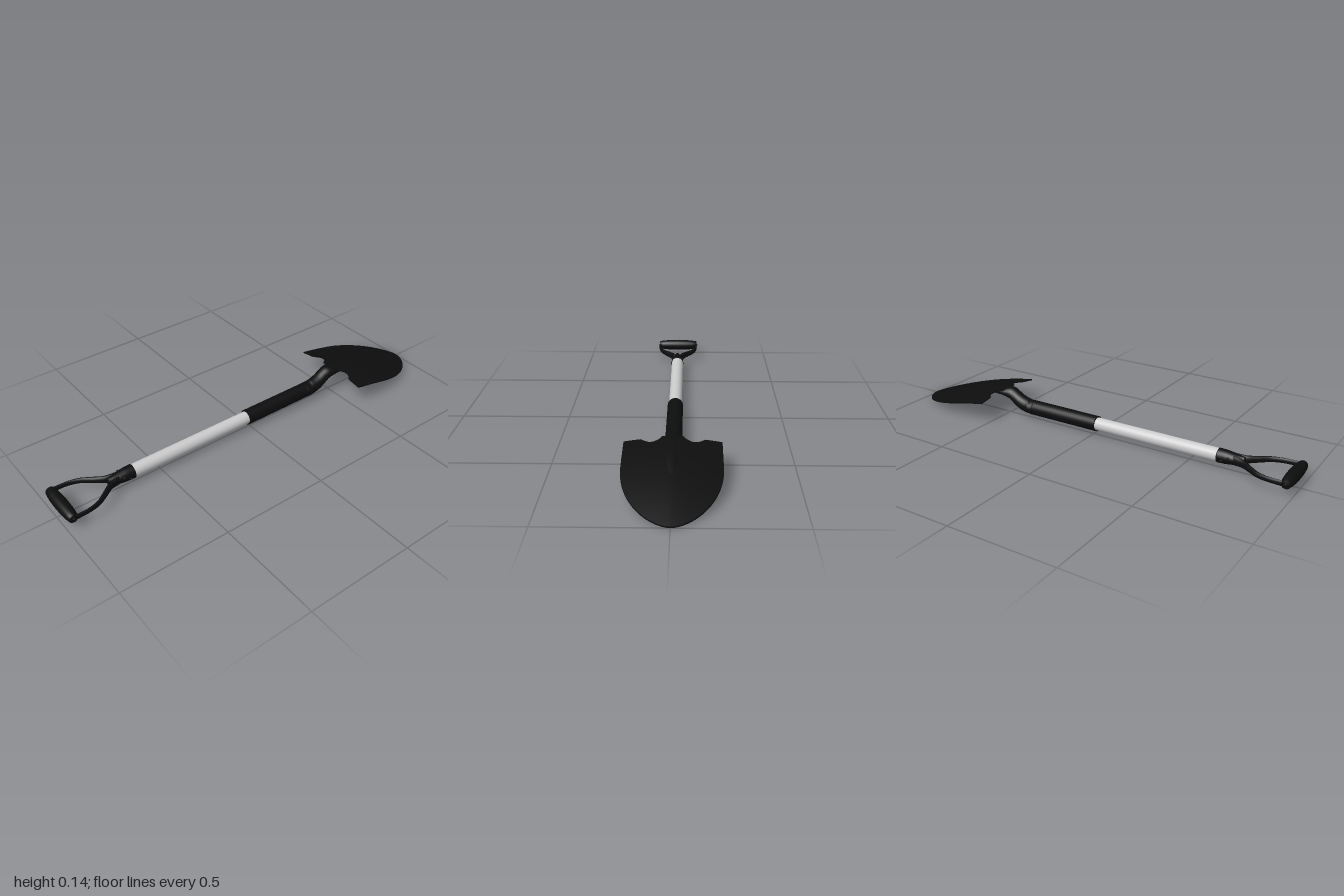
import * as THREE from 'three';

const AXIS = 0.056; // height of the shaft centre line

// Closed skin through elliptical sections [x, y, z, rx, ry], ordered from +z to -z
function loft(sections, sides = 24, steps = 8) {
  const centre = new THREE.CatmullRomCurve3(sections.map(s => new THREE.Vector3(s[0], s[1], s[2])));
  const radii = new THREE.CatmullRomCurve3(sections.map(s => new THREE.Vector3(s[3], s[4], 0)));
  const rows = (sections.length - 1) * steps;
  const pos = [], idx = [];
  for (let i = 0; i <= rows; i++) {
    const c = centre.getPoint(i / rows), r = radii.getPoint(i / rows);
    for (let j = 0; j < sides; j++) {
      const a = (j / sides) * Math.PI * 2;
      pos.push(c.x + Math.cos(a) * r.x, c.y + Math.sin(a) * r.y, c.z);
    }
  }
  for (let i = 0; i < rows; i++) {
    for (let j = 0; j < sides; j++) {
      const a = i * sides + j, b = i * sides + (j + 1) % sides;
      idx.push(a, a + sides, b, b, a + sides, b + sides);
    }
  }
  // End caps
  const last = rows * sides;
  for (let j = 1; j < sides - 1; j++) {
    idx.push(0, j, j + 1, last, last + j + 1, last + j);
  }
  const g = new THREE.BufferGeometry();
  g.setAttribute('position', new THREE.Float32BufferAttribute(pos, 3));
  g.setIndex(idx);
  g.computeVertexNormals();
  return g;
}

// Domed round-point blade: a subdivided box bent onto the blade surface
function bladeGeometry() {
  const g = new THREE.BoxGeometry(2, 1, 1, 64, 1, 40);
  const p = g.attributes.position;
  const rearEdge = x => {
    if (x < 0.045) return -0.505;
    if (x > 0.13) return -0.513;
    return -0.513 - 0.027 * Math.sin(Math.PI * (x - 0.045) / 0.085);
  };
  const halfWidth = d => {
    const k = Math.max(0, 1 - d / 0.32);
    return 0.2 * Math.pow(Math.max(0, 1 - k * k), 0.6);
  };
  for (let i = 0; i < p.count; i++) {
    const u = p.getX(i), side = p.getY(i) * 2;
    const k = 0.5 - p.getZ(i);
    const t = 1 - (1 - k) * (1 - k);
    const z = THREE.MathUtils.lerp(rearEdge(Math.abs(u) * 0.2), -1, t);
    const d = 1 + z;
    const x = u * halfWidth(d);
    const y = 0.004 + 0.36 * d - 0.21 * d * d - 0.25 * Math.pow(Math.abs(x), 1.5);
    p.setXYZ(i, x, y + side * 0.003, z);
  }
  g.computeVertexNormals();
  return g;
}

export function createModel() {
  const root = new THREE.Group();
  const black = new THREE.MeshStandardMaterial({ color: 0x0d0d0d });
  const grey = new THREE.MeshStandardMaterial({ color: 0xcccccc });

  const add = (name, geometry, material = black) => {
    const mesh = new THREE.Mesh(geometry, material);
    mesh.name = name;
    root.add(mesh);
    return mesh;
  };

  add('blade', bladeGeometry());

  // Socket: straight sleeve, upward crank, then a ridge fading into the blade
  add('socketSleeve', new THREE.CylinderGeometry(0.036, 0.036, 0.38, 28).rotateX(Math.PI / 2))
    .position.set(0, AXIS, -0.17);
  add('socketNeck', loft([
    [0, AXIS, -0.34, 0.036, 0.036],
    [0, 0.058, -0.38, 0.036, 0.036],
    [0, 0.069, -0.42, 0.035, 0.037],
    [0, 0.085, -0.45, 0.034, 0.038],
    [0, 0.104, -0.48, 0.036, 0.032],
    [0, 0.11, -0.52, 0.04, 0.023],
    [0, 0.107, -0.57, 0.036, 0.018],
    [0, 0.099, -0.65, 0.029, 0.012],
    [0, 0.083, -0.73, 0.02, 0.007],
    [0, 0.07, -0.785, 0.006, 0.002],
  ], 28));

  add('shaft', new THREE.CylinderGeometry(0.03, 0.03, 0.64, 28).rotateX(Math.PI / 2), grey)
    .position.set(0, AXIS, 0.33);

  // Ferrule joining the shaft to the forked handle
  add('ferrule', loft([
    [0, AXIS, 0.755, 0.012, 0.02],
    [0, AXIS, 0.73, 0.022, 0.023],
    [0, AXIS, 0.7, 0.029, 0.027],
    [0, AXIS, 0.67, 0.031, 0.031],
    [0, AXIS, 0.635, 0.032, 0.032],
  ]));

  // Forked arms
  for (const s of [-1, 1]) {
    add(s > 0 ? 'leftArm' : 'rightArm', loft([
      [s * 0.101, AXIS, 0.968, 0.006, 0.014],
      [s * 0.102, AXIS, 0.93, 0.006, 0.012],
      [s * 0.098, AXIS, 0.885, 0.007, 0.012],
      [s * 0.083, AXIS, 0.84, 0.01, 0.013],
      [s * 0.052, AXIS, 0.795, 0.013, 0.015],
      [s * 0.025, AXIS, 0.755, 0.012, 0.018],
      [s * 0.014, AXIS, 0.71, 0.011, 0.022],
    ], 16));
  }

  // Barrel-shaped grip
  const profile = [[0, -0.108], [0.016, -0.108], [0.021, -0.103], [0.025, -0.08], [0.028, -0.045], [0.029, 0],
    [0.028, 0.045], [0.025, 0.08], [0.021, 0.103], [0.016, 0.108], [0, 0.108]];
  add('grip', new THREE.LatheGeometry(profile.map(([r, y]) => new THREE.Vector2(r, y)), 28).rotateZ(Math.PI / 2))
    .position.set(0, AXIS, 0.97);

  // Rivets: grip ends, ferrule sides, underside of the socket
  const rivet = (x, y, z) => {
    const m = add('rivet', new THREE.SphereGeometry(0.005, 10, 8));
    m.position.set(x, y, z);
  };
  for (const s of [-1, 1]) {
    rivet(s * 0.107, AXIS, 0.97);
    rivet(s * 0.03, AXIS + 0.009, 0.69);
    rivet(s * 0.03, AXIS - 0.009, 0.66);
  }
  rivet(0, AXIS - 0.036, -0.05);

  return root;
}
